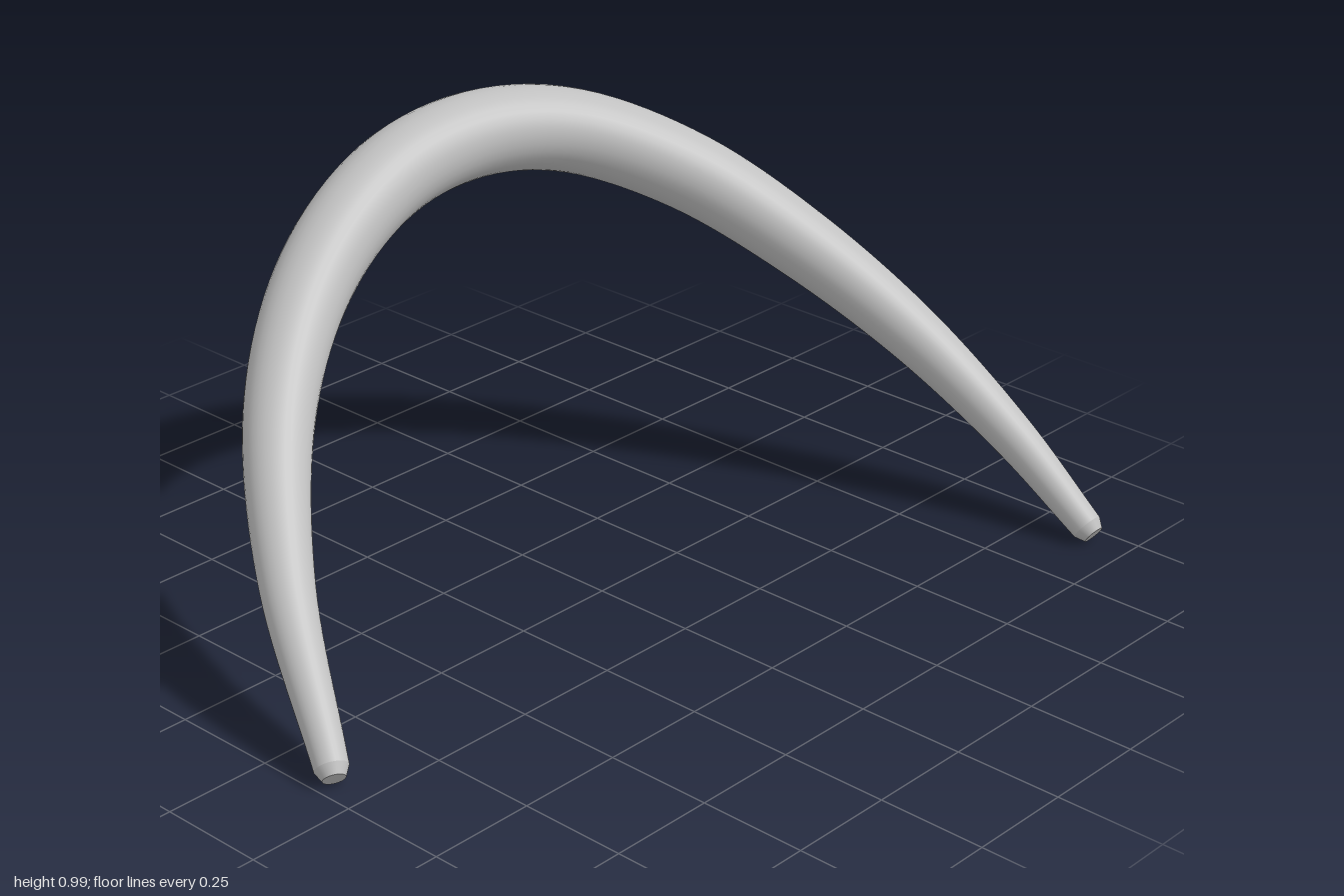
import * as THREE from 'three';

const END_RADIUS = 0.037, MID_RADIUS = 0.099;
const SEGMENTS = 96, SIDES = 32;

// Centre line, from the front tip over the crown to the back tip
const path = new THREE.CatmullRomCurve3([
  [0.155, 0.042, 0.957], [-0.14, 0.29, 0.8], [-0.375, 0.52, 0.6], [-0.505, 0.69, 0.4],
  [-0.567, 0.81, 0.2], [-0.585, 0.88, 0], [-0.558, 0.9, -0.22], [-0.48, 0.865, -0.42],
  [-0.31, 0.755, -0.62], [-0.09, 0.59, -0.775], [0.165, 0.4, -0.885],
  [0.42, 0.2, -0.945], [0.645, 0.042, -0.942],
].map((p) => new THREE.Vector3(...p)));

// Tube that swells from thin ends to a thick middle
function taperedTube() {
  const geometry = new THREE.TubeGeometry(path, SEGMENTS, 1, SIDES);
  const pos = geometry.attributes.position;
  const p = new THREE.Vector3();
  for (let i = 0; i <= SEGMENTS; i++) {
    const t = i / SEGMENTS;
    const centre = path.getPointAt(t);
    const radius = END_RADIUS + (MID_RADIUS - END_RADIUS) * Math.sin(Math.PI * t);
    for (let j = 0; j <= SIDES; j++) {
      const k = i * (SIDES + 1) + j;
      p.fromBufferAttribute(pos, k).sub(centre).multiplyScalar(radius).add(centre);
      pos.setXYZ(k, p.x, p.y, p.z);
    }
  }
  return geometry;
}

// Short bevelled stub that closes one end
function endCap(t, direction, material) {
  const height = 0.024;
  const geometry = new THREE.CylinderGeometry(0.025, END_RADIUS, height, SIDES);
  geometry.translate(0, height / 2, 0);
  const cap = new THREE.Mesh(geometry, material);
  cap.position.copy(path.getPointAt(t));
  const outward = path.getTangentAt(t).multiplyScalar(direction);
  cap.quaternion.setFromUnitVectors(new THREE.Vector3(0, 1, 0), outward);
  return cap;
}

export function createModel() {
  const group = new THREE.Group();
  group.name = 'curvedBand';
  const grey = new THREE.MeshStandardMaterial({ color: 0xc0c0c0 });
  grey.name = 'light grey';

  const band = new THREE.Mesh(taperedTube(), grey);
  band.name = 'band';
  const frontTip = endCap(0, -1, grey);
  frontTip.name = 'frontTip';
  const backTip = endCap(1, 1, grey);
  backTip.name = 'backTip';
  group.add(band, frontTip, backTip);
  return group;
}
